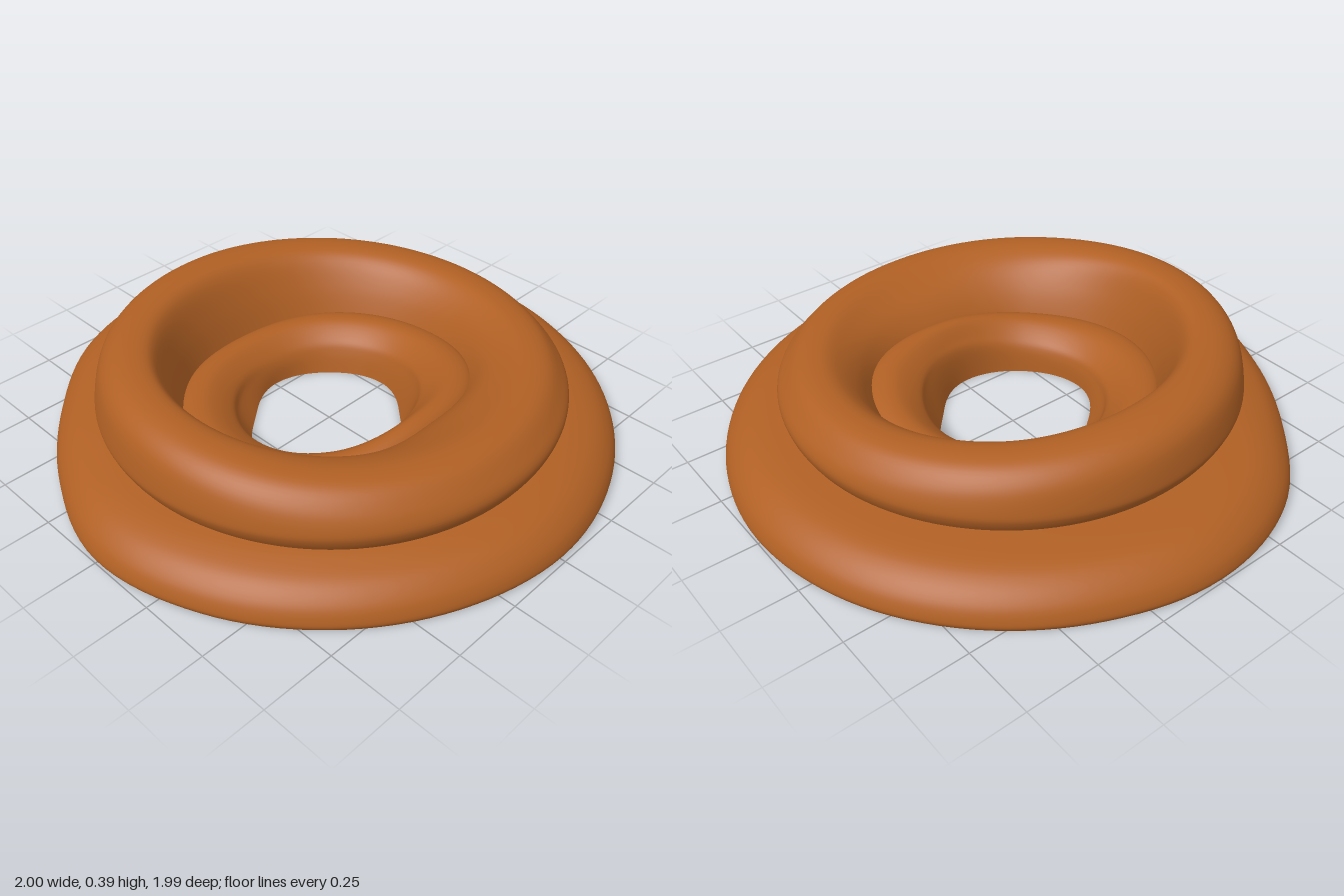
import * as THREE from 'three';

const STEPS = 128;

// Smooth periodic value from keys spread evenly around the ring (starting at +x, turning to +z)
function around(keys, t) {
  const n = keys.length, f = t * n, i = Math.floor(f), u = f - i;
  const k = (j) => keys[(i + j + n) % n];
  const a = k(-1), b = k(0), c = k(1), d = k(2);
  return b + 0.5 * u * (c - a + u * (2 * a - 5 * b + 4 * c - d + u * (3 * (b - c) + d - a)));
}

// Hand-made unevenness of the coils
const RIM = [1, 0.99, 0.985, 0.985, 0.99, 0.98, 0.98, 0.99, 1, 0.95, 0.94, 0.985, 1, 0.985, 0.985, 0.995];
const UPPER = [0.78, 0.80, 0.82, 0.83, 0.815, 0.78, 0.75, 0.755];
const TOP = [0.335, 0.33, 0.33, 0.35, 0.387, 0.39, 0.388, 0.36];
const CREASE = [0.47, 0.48, 0.43, 0.47, 0.53, 0.49, 0.44, 0.45];
const CREASE_Y = [0.16, 0.19, 0.20, 0.16, 0.14, 0.14, 0.14, 0.15];
const HOLE = [0.28, 0.25, 0.30, 0.31, 0.32, 0.26, 0.28, 0.27];
const LIP = [0.30, 0.30, 0.31, 0.32, 0.33, 0.31, 0.29, 0.29];

// Sweep a changing section of [radius, height] points around the vertical axis
function ring(name, material, section, samples) {
  const pos = [], idx = [];
  for (let i = 0; i < STEPS; i++) {
    const t = i / STEPS, a = t * Math.PI * 2;
    const pts = section((keys) => around(keys, t)).map(([r, y]) => new THREE.Vector2(r, y));
    const curve = new THREE.SplineCurve(pts);
    for (let j = 0; j <= samples; j++) {
      const p = curve.getPoint(j / samples);
      pos.push(p.x * Math.cos(a), p.y, p.x * Math.sin(a));
    }
  }
  const w = samples + 1;
  for (let i = 0; i < STEPS; i++) {
    for (let j = 0; j < samples; j++) {
      const a = i * w + j, b = ((i + 1) % STEPS) * w + j;
      idx.push(a, a + 1, b, b, a + 1, b + 1);
    }
  }
  const geo = new THREE.BufferGeometry();
  geo.setAttribute('position', new THREE.Float32BufferAttribute(pos, 3));
  geo.setIndex(idx);
  geo.computeVertexNormals();
  const mesh = new THREE.Mesh(geo, material);
  mesh.name = name;
  return mesh;
}

export function createModel() {
  const group = new THREE.Group();
  group.name = 'coiledRing';
  const clay = new THREE.MeshStandardMaterial({ color: 0xb06024, side: THREE.DoubleSide });
  clay.name = 'warm brown';

  // Wide lower coil
  group.add(ring('lowerCoil', clay, (at) => {
    const r = at(RIM), u = at(UPPER);
    return [[r - 0.01, 0.004], [r, 0.03], [r - 0.02, 0.08], [r - 0.07, 0.125],
      [r - 0.14, 0.15], [u - 0.05, 0.162]];
  }, 30));

  // Raised upper coil, rolling over into the bowl
  group.add(ring('upperCoil', clay, (at) => {
    const u = at(UPPER), h = at(TOP), c = at(CREASE), cy = at(CREASE_Y);
    const crest = u - 0.16;
    return [[u - 0.03, 0.145], [u - 0.005, 0.19], [u, 0.23], [u - 0.025, h - 0.06],
      [u - 0.08, h - 0.01], [crest, h], [crest * 0.6 + c * 0.4, h - 0.03],
      [crest * 0.25 + c * 0.75, cy + (h - cy) * 0.45], [c, cy], [c - 0.01, cy - 0.04]];
  }, 48));

  // Low inner coil running down to the hole
  group.add(ring('innerCoil', clay, (at) => {
    const c = at(CREASE), cy = at(CREASE_Y), l = at(LIP), o = at(HOLE);
    const m = c * 0.55 + l * 0.45;
    return [[c + 0.03, cy - 0.03], [c - 0.01, cy + 0.01], [m, cy + 0.015],
      [l + 0.025, cy - 0.03], [l, cy - 0.075], [o, 0.004]];
  }, 28));

  // Flat underside
  group.add(ring('underside', clay, (at) => [[at(HOLE), 0.004], [at(RIM) - 0.01, 0.004]], 4));

  return group;
}
